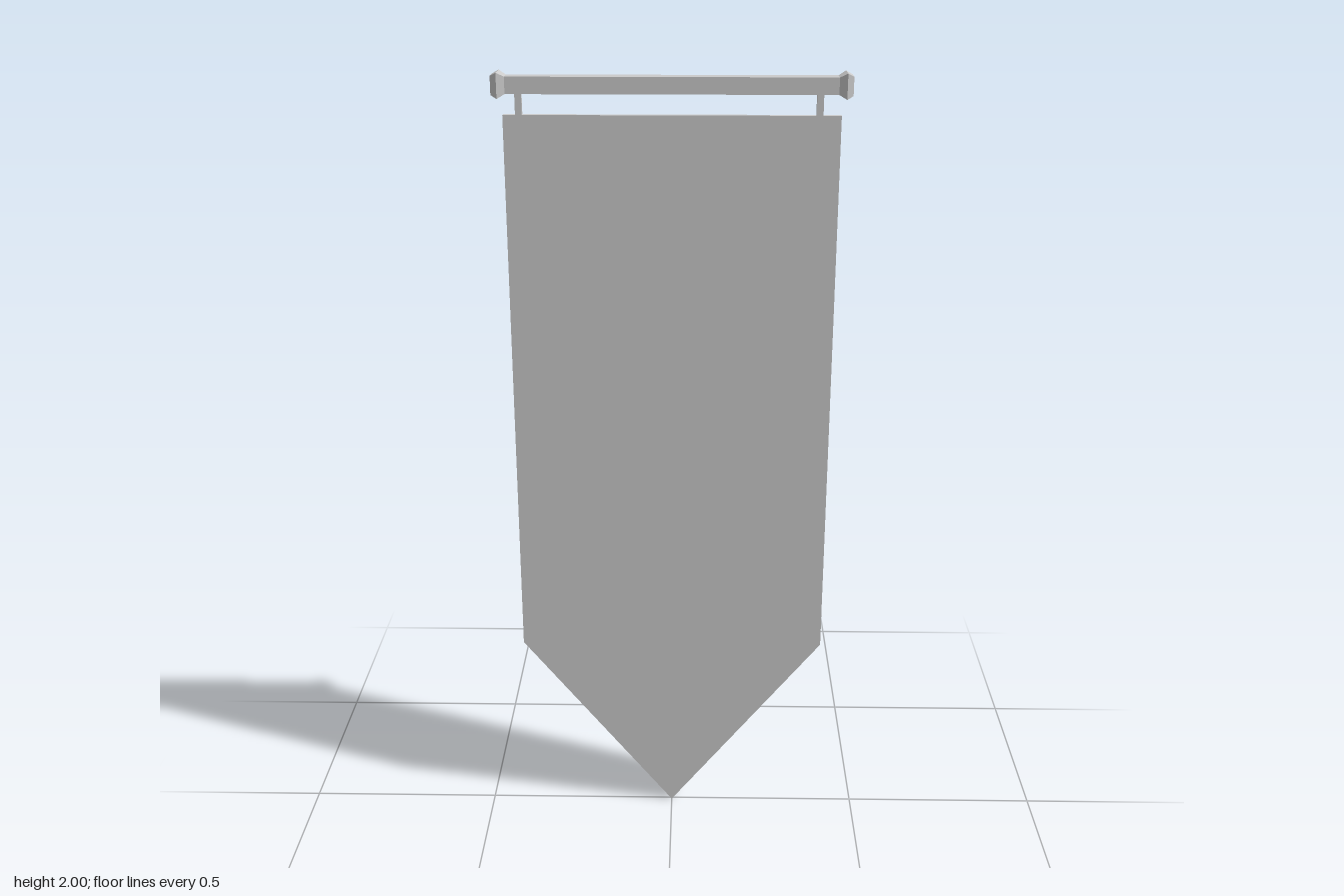
import * as THREE from 'three';

const material = new THREE.MeshStandardMaterial({ color: 0xcccccc, flatShading: true });

function addPart(group, name, geometry, x = 0, y = 0, z = 0) {
  const mesh = new THREE.Mesh(geometry, material);
  mesh.name = name;
  mesh.position.set(x, y, z);
  group.add(mesh);
  return mesh;
}

export function createModel() {
  const group = new THREE.Group();
  group.name = 'hangingBanner';

  // Cloth: a thin slab ending in a point
  const depth = 0.014;
  const outline = new THREE.Shape([
    [0, 0], [0.4, 0.495], [0.4, 1.9], [-0.4, 1.9], [-0.4, 0.495],
  ].map(([x, y]) => new THREE.Vector2(x, y)));
  const cloth = new THREE.ExtrudeGeometry(outline, { depth, bevelEnabled: false });
  addPart(group, 'cloth', cloth, 0, 0, -depth / 2);

  // Square rod with flared, chamfered ends: [half width, position along rod]
  const half = [[0, 0.424], [0.022, 0.424], [0.03, 0.409], [0.02, 0.391]];
  const profile = [
    ...half.map(([r, x]) => [r, -x]),
    ...half.slice().reverse(),
  ].map(([r, x]) => new THREE.Vector2(r * Math.SQRT2, x));
  const rod = new THREE.LatheGeometry(profile, 4, Math.PI / 4);
  rod.rotateZ(-Math.PI / 2);
  addPart(group, 'rod', rod, 0, 1.97, 0);

  // Two short straps joining the cloth to the rod
  for (const [name, x] of [['rightStrap', -0.362], ['leftStrap', 0.349]]) {
    addPart(group, name, new THREE.BoxGeometry(0.016, 0.06, 0.014), x, 1.925, 0);
  }

  return group;
}
